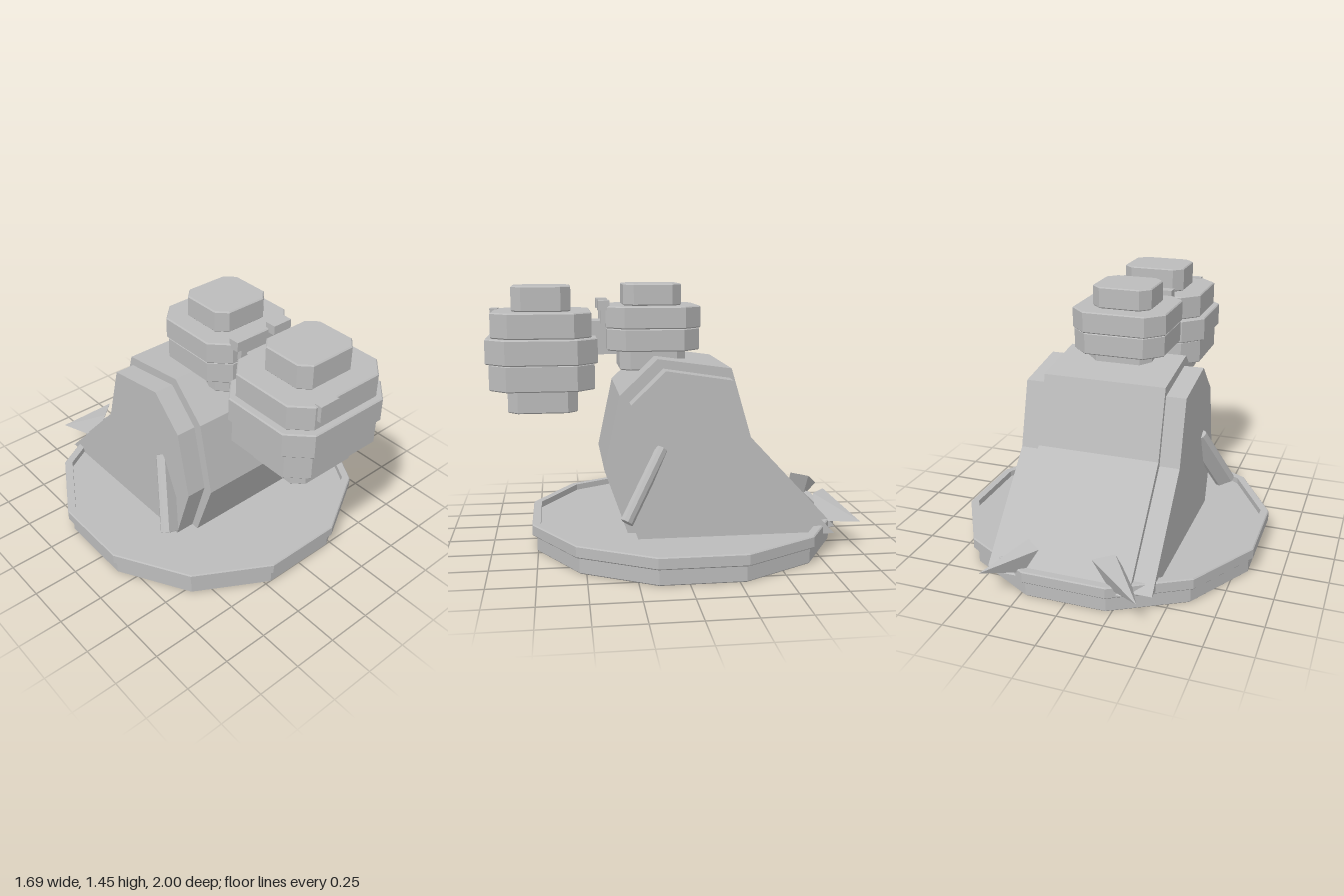
import * as THREE from 'three';
import { ConvexGeometry } from 'three/addons/geometries/ConvexGeometry.js';

const V = (x, y, z) => new THREE.Vector3(x, y, z);

export function createModel() {
  const model = new THREE.Group();
  const gray = new THREE.MeshStandardMaterial({ color: 0xbcbcbc, flatShading: true });
  gray.name = 'plain gray';

  function add(name, geometry, parent = model) {
    const mesh = new THREE.Mesh(geometry, gray);
    mesh.name = name;
    parent.add(mesh);
    return mesh;
  }

  function box(name, x0, x1, y0, y1, z0, z1) {
    const mesh = add(name, new THREE.BoxGeometry(x1 - x0, y1 - y0, z1 - z0));
    mesh.position.set((x0 + x1) / 2, (y0 + y1) / 2, (z0 + z1) / 2);
    return mesh;
  }

  // Prism with chamfered corners, centred, running along z
  function chamferedPrism(hx, hy, cut, length, bevel = 0.006) {
    const x = hx - bevel, y = hy - bevel;
    const shape = new THREE.Shape([
      [x, -y + cut], [x, y - cut], [x - cut, y], [-x + cut, y],
      [-x, y - cut], [-x, -y + cut], [-x + cut, -y], [x - cut, -y],
    ].map(([a, b]) => new THREE.Vector2(a, b)));
    return new THREE.ExtrudeGeometry(shape, {
      depth: length - 2 * bevel, bevelEnabled: true,
      bevelSize: bevel, bevelThickness: bevel, bevelSegments: 1,
    }).translate(0, 0, bevel - length / 2);
  }

  // Twelve-sided base with a raised rim
  const baseProfile = [
    [0, 0], [0.843, 0], [0.849, 0.006], [0.849, 0.09], [0.869, 0.09], [0.875, 0.096],
    [0.875, 0.149], [0.869, 0.155], [0.828, 0.155], [0.828, 0.12], [0, 0.12],
  ].map(([r, y]) => new THREE.Vector2(r, y));
  const base = add('base', new THREE.LatheGeometry(baseProfile, 12));
  base.rotation.y = Math.PI / 12;
  base.position.z = -0.065;

  // Side profile (z, y) extruded across the body
  function profileSlab(name, points, width) {
    const shape = new THREE.Shape(points.map(([z, y]) => new THREE.Vector2(z, y)));
    const geometry = new THREE.ExtrudeGeometry(shape, { depth: width, bevelEnabled: false });
    return add(name, geometry.translate(0, 0, -width / 2).rotateY(-Math.PI / 2));
  }
  profileSlab('bodyCentre', [
    [0.265, 0.11], [0.39, 0.47], [0.305, 0.87], [0.105, 1.06],
    [-0.29, 1.005], [-0.4, 0.63], [-0.885, 0.11],
  ], 0.68);
  profileSlab('bodySides', [
    [0.22, 0.11], [0.335, 0.47], [0.255, 0.835], [0.075, 1.01],
    [-0.28, 0.955], [-0.38, 0.6], [-0.845, 0.11],
  ], 0.9);

  // Stacks of chamfered blocks: bottom, top, half width, half depth, chamfer
  function stack(name, z, layers) {
    const group = new THREE.Group();
    group.name = name;
    group.position.z = z;
    model.add(group);
    for (const [y0, y1, hx, hz, cut] of layers) {
      const layer = add('stackLayer', chamferedPrism(hx, hz, cut, y1 - y0).rotateX(-Math.PI / 2), group);
      layer.position.y = (y0 + y1) / 2;
    }
  }
  stack('frontStack', 0.706, [
    [0.76, 0.89, 0.21, 0.187, 0.05],
    [0.89, 1.03, 0.315, 0.278, 0.09],
    [1.03, 1.165, 0.338, 0.295, 0.105],
    [1.165, 1.3, 0.305, 0.265, 0.09],
    [1.3, 1.435, 0.182, 0.158, 0.05],
  ]);
  stack('rearStack', 0.108, [
    [0.98, 1.09, 0.18, 0.18, 0.05],
    [1.09, 1.21, 0.26, 0.25, 0.09],
    [1.21, 1.328, 0.267, 0.256, 0.09],
    [1.328, 1.445, 0.168, 0.158, 0.05],
  ]);

  // Front tag and the links between the stacks
  box('frontTag', -0.2, -0.085, 1.22, 1.305, 0.95, 0.992);
  box('linkBlock', -0.09, 0.09, 1.14, 1.245, 0.3, 0.46);
  box('lowerLinkBlock', -0.07, 0.07, 1.06, 1.14, 0.3, 0.44);
  for (const s of [-1, 1]) {
    const x = s * 0.123;
    box('linkTab', x - 0.058, x + 0.058, 1.305, 1.357, 0.343, 0.405);
    box('linkPin', x - 0.02, x + 0.02, 1.23, 1.31, 0.355, 0.39);
  }

  for (const s of [-1, 1]) {
    // Slanted arms
    const along = V(-s * 0.135, 0.35, -0.2);
    const length = along.length();
    const arm = add('arm', chamferedPrism(0.058, 0.03, 0.018, length, 0.002));
    const d = along.clone().normalize();
    const u = V(s * 0.105, 0.05, 0.017).normalize();
    const w = d.clone().cross(u).normalize();
    arm.quaternion.setFromRotationMatrix(new THREE.Matrix4().makeBasis(w.clone().cross(d), w, d));
    arm.position.set(s * 0.552, 0.245, 0.29).addScaledVector(along, 0.5);

    // Rear spikes
    add('rearSpike', new ConvexGeometry([
      V(s * 0.143, 0.278, -0.87), V(s * 0.238, 0.278, -0.785),
      V(s * 0.32, 0.14, -0.78), V(s * 0.235, 0.125, -0.865),
      V(s * 0.42, 0.16, -1),
    ]));
  }

  return model;
}
